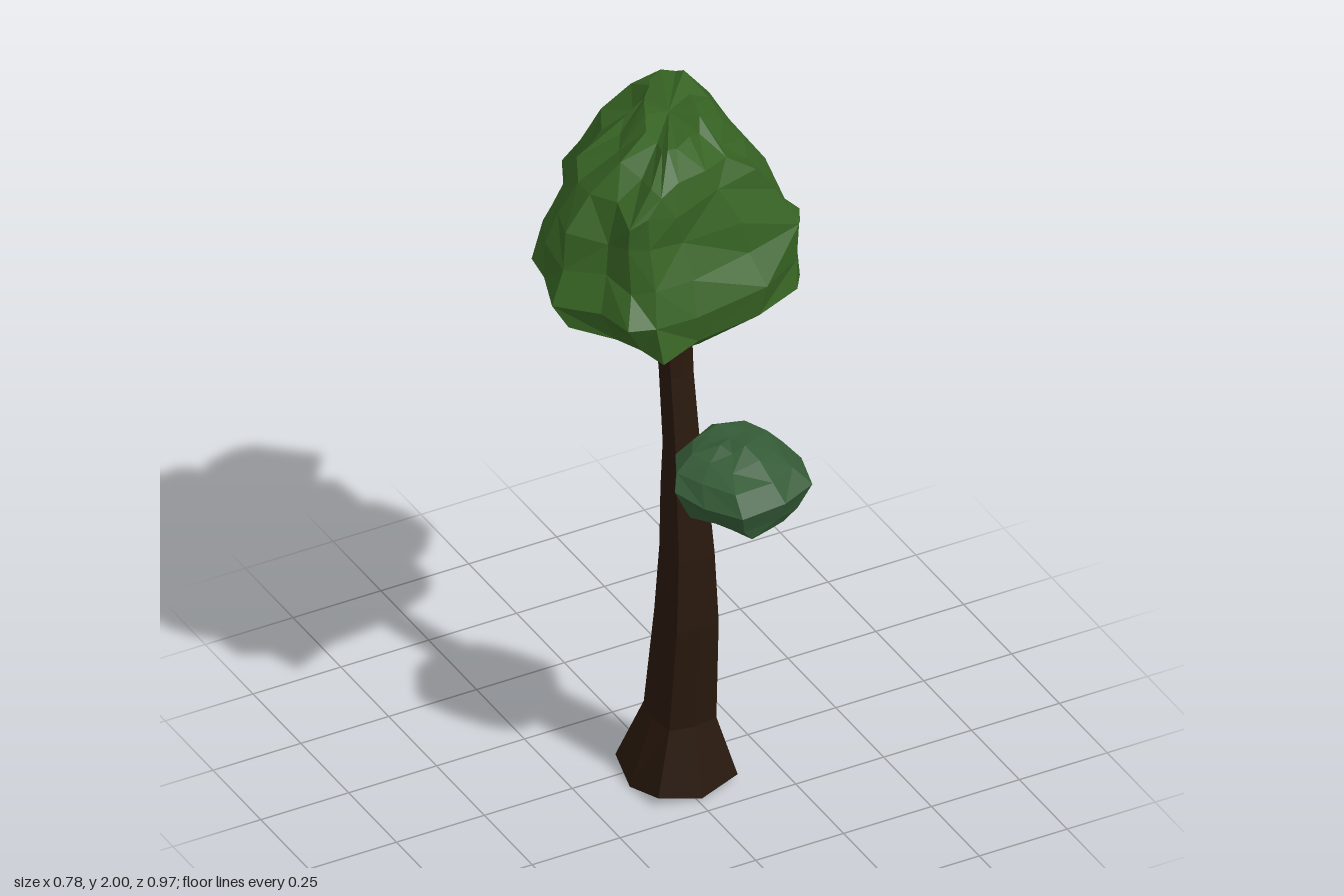
import * as THREE from 'three';

const BARK = 0x28180c, LEAF = 0x366223, DARK_LEAF = 0x345a36;

// Seeded random numbers
function seeded(seed) {
  let s = seed;
  return () => (s = (s * 16807) % 2147483647) / 2147483647;
}

// Skin a stack of rings (counter-clockwise seen from the far end) and cap both ends
function loft(name, rings, color) {
  const n = rings[0].length, pos = [], index = [];
  rings.flat().forEach((p) => pos.push(p.x, p.y, p.z));
  for (let j = 0; j < rings.length - 1; j++) {
    for (let i = 0; i < n; i++) {
      const a = j * n + i, b = j * n + (i + 1) % n, c = b + n, d = a + n;
      if ((i * 3 + j * 5) % 4 < 2) index.push(a, b, c, a, c, d);
      else index.push(a, b, d, b, c, d);
    }
  }
  [0, rings.length - 1].forEach((j) => {
    const mid = new THREE.Vector3();
    rings[j].forEach((p) => mid.addScaledVector(p, 1 / n));
    const m = pos.length / 3;
    pos.push(mid.x, mid.y, mid.z);
    for (let i = 0; i < n; i++) {
      const a = j * n + i, b = j * n + (i + 1) % n;
      if (j === 0) index.push(m, b, a);
      else index.push(m, a, b);
    }
  });
  const geo = new THREE.BufferGeometry();
  geo.setAttribute('position', new THREE.Float32BufferAttribute(pos, 3));
  geo.setIndex(index);
  geo.computeVertexNormals();
  const mesh = new THREE.Mesh(geo, new THREE.MeshStandardMaterial({ color, flatShading: true }));
  mesh.name = name;
  return mesh;
}

// Tapering limb through [x, y, z, radius] stations; side is a direction across its bend,
// bulge pushes out every second corner
function limb(name, stations, sides, side, bulge = 0) {
  const pts = stations.map(([x, y, z]) => new THREE.Vector3(x, y, z));
  const rings = pts.map((p, j) => {
    const t = pts[Math.min(j + 1, pts.length - 1)].clone().sub(pts[Math.max(j - 1, 0)]).normalize();
    const v = t.clone().cross(side).normalize();
    const u = v.clone().cross(t);
    return Array.from({ length: sides }, (_, i) => {
      const a = (i / sides) * Math.PI * 2, r = stations[j][3] * (1 + bulge * (i % 2));
      return p.clone().addScaledVector(u, r * Math.cos(a)).addScaledVector(v, r * Math.sin(a));
    });
  });
  return loft(name, rings, BARK);
}

// Faceted leaf mass: plan outline [x, z] fitted to each level [y, xMin, xMax, zMin, zMax, skew];
// skew shifts x along z within a level, slope tips the whole mass along z
function clump(name, color, outline, levels, seed, rough, slope = 0) {
  const rnd = seeded(seed);
  const xs = outline.map((p) => p[0]), zs = outline.map((p) => p[1]);
  const x0 = Math.min(...xs), x1 = Math.max(...xs), z0 = Math.min(...zs), z1 = Math.max(...zs);
  const zMid = (z0 + z1) / 2;
  const rings = levels.map(([y, ax, bx, az, bz, skew = 0]) => outline.map(([x, z]) => {
    const k = 1 + rough * (0.35 - rnd());
    const u = ((x - x0) / (x1 - x0) - 0.5) * k + 0.5;
    const w = ((z - z0) / (z1 - z0) - 0.5) * k + 0.5;
    const pz = az + (bz - az) * w;
    const px = ax + (bx - ax) * u + skew * (pz - (az + bz) / 2);
    const py = y + (rnd() - 0.5) * rough * 0.25 + slope * (pz - zMid);
    return new THREE.Vector3(px, Math.min(py, 2), pz);
  }));
  return loft(name, rings, color);
}

export function createModel() {
  const tree = new THREE.Group();
  tree.name = 'tree';
  const X = new THREE.Vector3(1, 0, 0), Z = new THREE.Vector3(0, 0, 1);

  // Trunk with flared foot, bowed towards the front
  const trunk = limb('trunk', [
    [0.013, 0.02, 0.062, 0.133], [0.015, 0.2, 0.077, 0.079], [0.018, 0.5, 0.105, 0.07],
    [0.02, 0.7, 0.104, 0.06], [0.02, 0.87, 0.09, 0.052], [0.02, 1.0, 0.075, 0.041],
    [0.021, 1.2, 0.046, 0.038], [0.021, 1.3, 0.034, 0.04], [0.02, 1.39, 0.022, 0.06], [0.02, 1.46, 0.02, 0.055],
  ], 8, X, 0.2);
  const foot = trunk.geometry.attributes.position;
  for (let i = 0; i < 8; i++) foot.setY(i, i % 2 ? 0.025 : 0);
  tree.add(trunk);

  // Branches
  tree.add(
    limb('lowerBranch', [[0.018, 0.86, 0.09, 0.045], [0.02, 0.935, 0.13, 0.038], [0.025, 0.965, 0.2, 0.027],
      [0.03, 0.97, 0.26, 0.022], [0.04, 1.03, 0.31, 0.015]], 6, X),
    limb('backBranch', [[0.02, 1.36, 0.03, 0.042], [0.025, 1.4, -0.04, 0.038], [0.05, 1.42, -0.14, 0.033],
      [0.075, 1.44, -0.24, 0.03], [0.09, 1.48, -0.3, 0.026], [0.1, 1.56, -0.33, 0.02]], 6, X),
    limb('frontBranch', [[0.02, 1.37, 0.02, 0.038], [0.015, 1.43, 0.075, 0.034], [0, 1.48, 0.14, 0.028],
      [0, 1.6, 0.2, 0.02]], 6, X),
    limb('leftBranch', [[0.02, 1.38, 0.02, 0.036], [0.09, 1.41, 0.02, 0.028], [0.16, 1.43, 0.01, 0.024],
      [0.19, 1.47, 0, 0.021], [0.22, 1.56, 0, 0.016]], 6, Z),
    limb('rightBranch', [[0.02, 1.37, 0.02, 0.038], [-0.03, 1.44, 0.02, 0.03], [-0.08, 1.48, 0.02, 0.025],
      [-0.12, 1.58, 0.02, 0.018]], 6, Z),
  );

  // Main crown, its top forming a ridge from front right to back left
  tree.add(clump('crown', LEAF, [
    [-0.23, 0.395], [-0.1, 0.37], [0.1, 0.34], [0.26, 0.27], [0.29, 0.2], [0.3, 0.08], [0.29, -0.06],
    [0.275, -0.2], [0.2, -0.255], [0.02, -0.305], [-0.15, -0.275], [-0.19, -0.18], [-0.27, -0.12],
    [-0.33, -0.06], [-0.36, 0.04], [-0.395, 0.15], [-0.31, 0.25], [-0.28, 0.345],
  ], [
    [1.53, -0.12, 0.12, -0.08, 0.14], [1.48, -0.25, 0.2, -0.14, 0.34], [1.52, -0.35, 0.275, -0.22, 0.39],
    [1.6, -0.395, 0.31, -0.305, 0.4], [1.69, -0.365, 0.285, -0.29, 0.365], [1.78, -0.335, 0.255, -0.245, 0.33, -0.05],
    [1.87, -0.275, 0.2, -0.21, 0.315, -0.17], [1.94, -0.16, 0.13, -0.175, 0.295, -0.28], [1.985, -0.07, 0.08, -0.14, 0.21, -0.33],
  ], 11, 0.13));

  // Small lump on the side of the crown
  tree.add(clump('sideLeaves', LEAF, [
    [0.2, 0.12], [0.3, 0.12], [0.36, 0.07], [0.39, 0.02], [0.37, -0.04], [0.33, -0.1], [0.26, -0.14], [0.18, -0.1], [0.16, 0.02],
  ], [
    [1.465, 0.2, 0.34, -0.08, 0.08], [1.5, 0.17, 0.38, -0.13, 0.11], [1.55, 0.16, 0.39, -0.15, 0.12],
    [1.595, 0.18, 0.35, -0.12, 0.1], [1.63, 0.2, 0.29, -0.05, 0.06],
  ], 5, 0.08));

  // Leaf pad on the lower branch
  tree.add(clump('lowerLeaves', DARK_LEAF, [
    [-0.03, 0.485], [0.1, 0.475], [0.2, 0.43], [0.235, 0.3], [0.18, 0.2], [0.05, 0.155], [-0.07, 0.2], [-0.13, 0.3], [-0.09, 0.39],
  ], [
    [0.945, -0.03, 0.14, 0.26, 0.45], [0.97, -0.09, 0.19, 0.22, 0.465], [1.03, -0.13, 0.237, 0.17, 0.487],
    [1.07, -0.11, 0.2, 0.155, 0.44], [1.105, -0.06, 0.16, 0.18, 0.38], [1.125, 0, 0.1, 0.21, 0.33],
  ], 23, 0.07));

  // Sloping leaf pad on the back branch
  tree.add(clump('backLeaves', DARK_LEAF, [
    [0, -0.19], [0.12, -0.17], [0.25, -0.21], [0.325, -0.34], [0.2, -0.48], [0.14, -0.49], [0.05, -0.46], [-0.02, -0.37], [-0.08, -0.27],
  ], [
    [1.51, 0.02, 0.22, -0.43, -0.24], [1.53, -0.04, 0.28, -0.475, -0.2], [1.575, -0.08, 0.322, -0.487, -0.18],
    [1.63, -0.05, 0.28, -0.465, -0.18], [1.665, 0.02, 0.21, -0.4, -0.22],
  ], 41, 0.06, 0.33));

  return tree;
}
